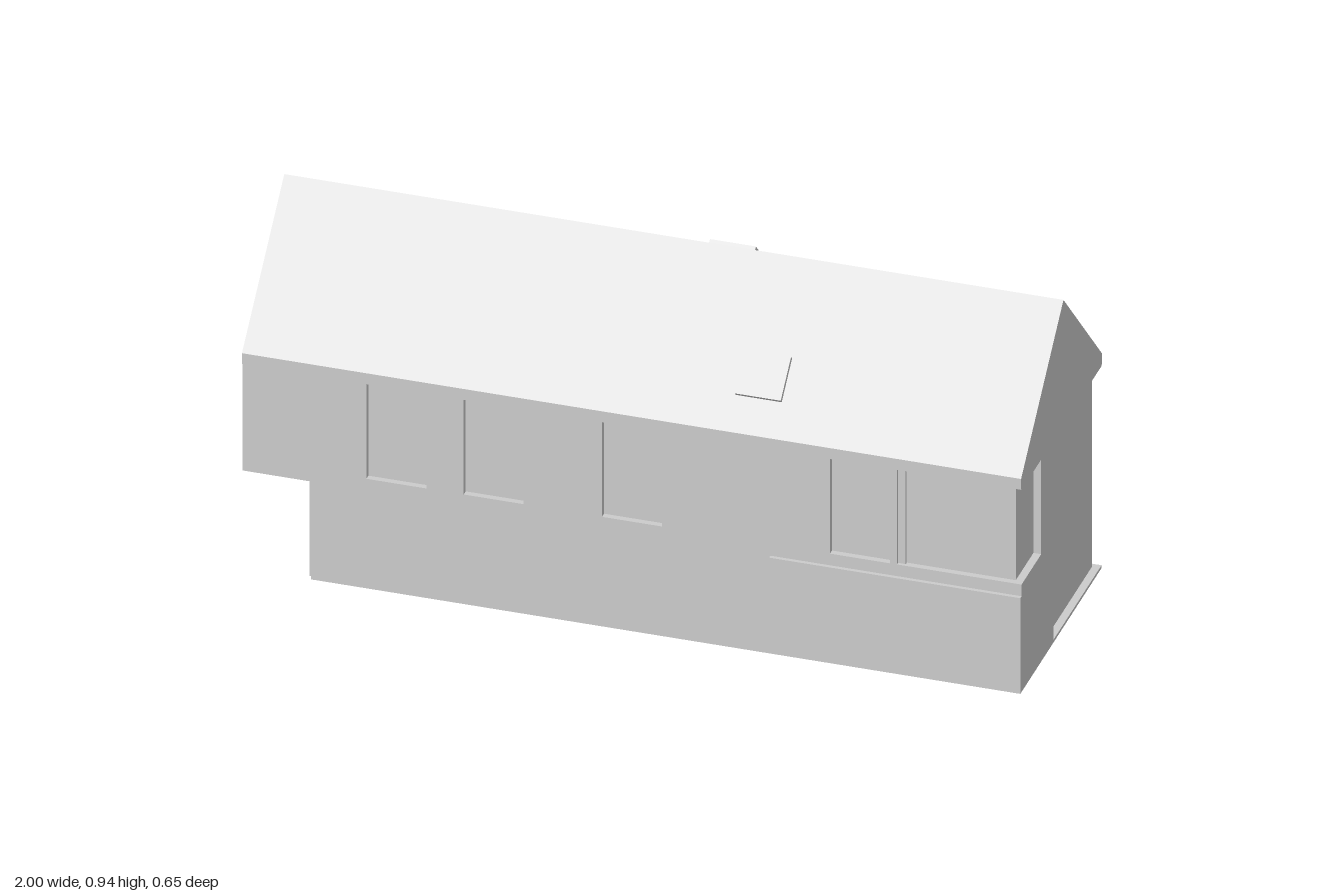
import * as THREE from 'three';

const mat = new THREE.MeshStandardMaterial({ color: 0xcccccc, flatShading: true });

export function createModel() {
  const house = new THREE.Group();
  house.name = 'house';

  const add = (name, geometry, parent = house) => {
    const mesh = new THREE.Mesh(geometry, mat);
    mesh.name = name;
    parent.add(mesh);
    return mesh;
  };
  // Box given by its limits on each axis
  const box = (name, x0, x1, y0, y1, z0, z1) =>
    add(name, new THREE.BoxGeometry(x1 - x0, y1 - y0, z1 - z0)
      .translate((x0 + x1) / 2, (y0 + y1) / 2, (z0 + z1) / 2));
  const shapeOf = pts => new THREE.Shape(pts.map(p => new THREE.Vector2(...p)));
  const rect = (x0, x1, y0, y1) => shapeOf([[x0, y0], [x1, y0], [x1, y1], [x0, y1]]);
  // Cross-section in (z, y), swept along x
  const sweepX = (name, pts, x0, x1) =>
    add(name, new THREE.ExtrudeGeometry(shapeOf(pts.map(([z, y]) => [-z, y])),
      { depth: x1 - x0, bevelEnabled: false }).rotateY(Math.PI / 2).translate(x0, 0, 0));
  // Wall in (x, y) with rectangular openings, between two z planes
  const wall = (name, pts, openings, z0, z1) => {
    const shape = shapeOf(pts);
    shape.holes = openings.map(o => rect(...o));
    return add(name, new THREE.ExtrudeGeometry(shape,
      { depth: z1 - z0, bevelEnabled: false }).translate(0, 0, z0));
  };

  const sill = 0.32, head = 0.587, floorY = 0.287, low = 0.017;
  const glassZ = 0.302, glassX = 0.98, faceZ = 0.318, endX = -0.83, ridgeZ = -0.015;

  // Plinth and inner core, whose faces form the window panes
  box('plinth', endX, 0.975, 0, low, -0.3, 0.3);
  sweepX('glazedCore', [[-glassZ, low], [glassZ, low], [glassZ, 0.605],
    [ridgeZ, 0.91], [-glassZ, 0.605]], endX, glassX);

  // Roof with shallow fascias
  sweepX('roof', [[0.322, 0.59], [0.322, 0.62], [ridgeZ, 0.94], [-0.322, 0.62], [-0.322, 0.59],
    [-0.295, 0.59], [-0.295, 0.604], [ridgeZ, 0.902], [0.295, 0.604], [0.295, 0.59]], -1, 1);

  // Front: upper wall with windows and corner notch, lower wall in two depths
  wall('frontUpperWall', [[-1, floorY], [1, floorY], [1, sill], [0.68, sill], [0.68, head],
    [1, head], [1, 0.61], [-1, 0.61]],
  [-0.605, -0.355, 0, 0.585].map(x => [x - 0.077, x + 0.077, sill, head]), 0.29, faceZ);
  box('frontLowerWall', endX, 0.355, low, floorY, 0.29, 0.313);
  box('frontLowerPanel', 0.355, 1, low, floorY, 0.29, 0.328);
  box('cornerWindowJamb', 0.68, 0.7, sill, head, 0.29, 0.31);

  // Back: windows, two recessed doors and a tall corner notch
  wall('backWall', [[-1, floorY], [endX, floorY], [endX, low], [0.7, low], [0.7, head],
    [1, head], [1, 0.61], [-1, 0.61]],
  [[-0.685, -0.535, sill, head], [0.075, 0.38, sill, head],
    [-0.38, -0.245, low + 0.004, floorY], [0.23, 0.36, low + 0.004, floorY]], -faceZ, -0.29);
  box('backWindowMullion', 0.222, 0.232, sill, head, -0.31, -0.29);
  box('cornerGlazingMullion', 0.835, 0.845, low, head, -0.31, -0.29);
  box('cornerGlazingPanel', 0.7, 0.84, low, sill, -0.313, -0.29);

  // Right gable with the corner window and the tall glazing cut out
  sweepX('gableWall', [[faceZ, low], [0.065, low], [0.065, head], [-faceZ, head], [-faceZ, 0.6],
    [-0.295, 0.604], [ridgeZ, 0.902], [0.295, 0.604], [faceZ, 0.6], [faceZ, head],
    [0.162, head], [0.162, sill], [faceZ, sill]], 0.96, 1);
  box('glazingThreshold', 0.96, 1, low, low + 0.008, -faceZ, 0.065);
  box('backThreshold', 0.7, 1, low, low + 0.008, -faceZ, -0.29);

  // Recessed balcony at the other end
  box('balconyFloor', -1, endX, floorY, 0.322, -0.31, 0.31);
  for (const s of [-1, 1]) {
    box('balconySideLining', -1, endX, floorY, 0.605, s < 0 ? -0.31 : 0.285, s < 0 ? -0.285 : 0.31);
  }
  box('balconyRail', -0.988, -0.978, 0.46, 0.468, -0.285, 0.285);
  for (let i = 0; i < 5; i++) {
    const z = -0.276 + i * 0.138;
    box('balconyPost', -0.987, -0.979, sill, 0.462, z - 0.004, z + 0.004);
  }
  // Frames on the balcony's glazed wall
  for (const z of [-0.28, -0.095, 0.095, 0.28]) {
    box('balconyDoorFrame', endX - 0.01, endX + 0.01, sill, 0.59, z - 0.006, z + 0.006);
  }
  box('balconyDoorHead', endX - 0.01, endX + 0.01, 0.584, 0.596, -0.286, 0.286);

  // Skylights lying on the two slopes
  const skylight = (x, y, z, angle) => {
    const group = new THREE.Group();
    group.name = 'skylight';
    add('skylightFrame', new THREE.BoxGeometry(0.11, 0.014, 0.108).translate(0, -0.008, 0), group);
    add('skylightCover', new THREE.BoxGeometry(0.118, 0.012, 0.114).translate(0, 0.003, 0), group);
    group.position.set(x, y, z);
    group.rotation.x = angle;
    house.add(group);
  };
  skylight(0.307, 0.732, 0.222, Math.atan2(0.32, 0.337));
  skylight(0.142, 0.885, -0.078, -Math.atan2(0.32, 0.307));

  return house;
}
